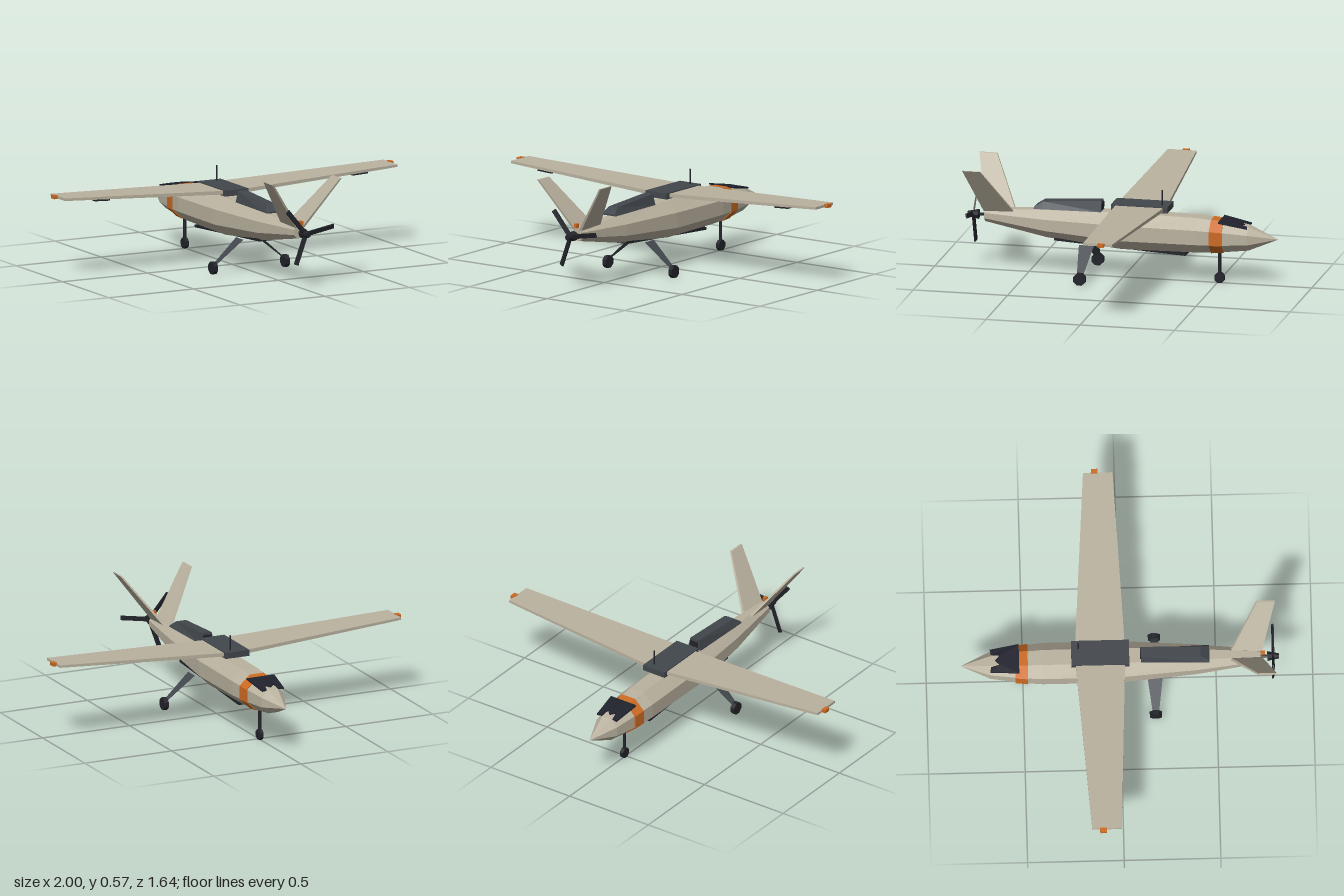
import * as THREE from 'three';

const paint = (name, color, extra = {}) => {
  const m = new THREE.MeshStandardMaterial({ color, ...extra });
  m.name = name;
  return m;
};

// Flat-shaded solid through matching rings of [x, y, z] points, capped at both ends
function loft(rings) {
  const n = rings[0].length, tris = [];
  for (let i = 0; i < rings.length - 1; i++) {
    for (let j = 0; j < n; j++) {
      const k = (j + 1) % n, a = rings[i], b = rings[i + 1];
      tris.push([a[j], a[k], b[k]], [a[j], b[k], b[j]]);
    }
  }
  const end = rings[rings.length - 1];
  for (let j = 1; j < n - 1; j++) {
    tris.push([rings[0][0], rings[0][j + 1], rings[0][j]], [end[0], end[j], end[j + 1]]);
  }
  // Turn every face outwards by the sign of the volume
  let volume = 0;
  const o = new THREE.Vector3(...rings[0][0]);
  const v = (p) => new THREE.Vector3(...p).sub(o);
  for (const [a, b, c] of tris) volume += v(a).dot(v(b).cross(v(c)));
  if (volume < 0) tris.forEach((t) => t.reverse());
  const g = new THREE.BufferGeometry();
  g.setAttribute('position', new THREE.Float32BufferAttribute(tris.flat(2), 3));
  g.computeVertexNormals();
  return g;
}

// Octagonal hull ring: z, half width, bottom, top
function hullRing([z, w, bottom, top], grow = 0) {
  const c = (bottom + top) / 2, h = (top - bottom) / 2 + grow, r = w + grow, q = 0.414;
  return [[q, 1], [1, q], [1, -q], [q, -1], [-q, -1], [-1, -q], [-1, q], [-q, 1]]
    .map(([x, y]) => [x * r, c + y * h, z]);
}

export function createModel() {
  const root = new THREE.Group();
  root.name = 'droneAircraft';
  const beige = paint('hull beige', 0xbab29f);
  const slate = paint('slate grey', 0x42474d);
  const dark = paint('dark rubber', 0x22232a);
  const orange = paint('marker orange', 0xcc6a22);
  const glass = paint('sensor glass', 0x1f212c, { side: THREE.DoubleSide });
  const strutGrey = paint('strut grey', 0x42474d, { side: THREE.DoubleSide });

  const add = (name, geometry, material, x = 0, y = 0, z = 0, parent = root) => {
    const m = new THREE.Mesh(geometry, material);
    m.name = name;
    m.position.set(x, y, z);
    parent.add(m);
    return m;
  };
  const box = (x, y, z) => new THREE.BoxGeometry(x, y, z);
  const round = (r1, r2, h, sides) =>
    new THREE.CylinderGeometry(r1, r2, h, sides).toNonIndexed();
  const flat = (g) => { g.computeVertexNormals(); return g; };

  // Fuselage, nose at -z
  add('fuselage', loft([
    [-0.82, 0.001, 0.25, 0.252], [-0.67, 0.065, 0.19, 0.315], [-0.52, 0.088, 0.174, 0.34],
    [-0.4, 0.1, 0.168, 0.352], [0, 0.1, 0.163, 0.357], [0.4, 0.071, 0.2, 0.345],
    [0.73, 0.034, 0.263, 0.33],
  ].map((s) => hullRing(s))), beige);
  add('noseBand', loft([[-0.54, 0.086, 0.176, 0.336], [-0.475, 0.094, 0.172, 0.344]]
    .map((s) => hullRing(s, 0.004))), orange);

  // Windscreen plate with a notched front edge, sloping to the nose
  const screen = [[-0.08, -0.52], [-0.062, -0.67], [-0.035, -0.665], [-0.025, -0.62], [0, -0.645],
    [0.025, -0.62], [0.035, -0.665], [0.062, -0.67], [0.08, -0.52]];
  const screenShape = new THREE.Shape(screen.map(([x, z]) => new THREE.Vector2(x, -z)));
  const screenGeo = new THREE.ExtrudeGeometry(screenShape, { depth: 0.008, bevelEnabled: false });
  screenGeo.rotateX(-Math.PI / 2);
  const sp = screenGeo.attributes.position;
  for (let i = 0; i < sp.count; i++) {
    const t = (-0.52 - sp.getZ(i)) / 0.15;
    sp.setY(i, sp.getY(i) + 0.338 - 0.012 * t - 0.016 * t * t);
  }
  add('windscreen', flat(screenGeo), glass);

  // Wing with taper and slight dihedral
  const wingRing = (x, y, t, lead, trail) =>
    [[x, y, lead], [x, y + t, lead], [x, y + t, trail], [x, y, trail]];
  add('wing', loft([
    wingRing(-0.98, 0.424, 0.013, -0.165, -0.012), wingRing(0, 0.378, 0.02, -0.232, 0.03),
    wingRing(0.98, 0.424, 0.013, -0.165, -0.012),
  ]), beige);
  add('wingCentreBox', box(0.136, 0.032, 0.3), slate, 0, 0.39, -0.1);
  add('antenna', flat(round(0.004, 0.004, 0.085, 6)), dark, 0.025, 0.444, -0.212);

  // Spine fairing behind the wing
  const trap = (z, wb, wt, yb, yt) => [[-wb, yb, z], [wb, yb, z], [wt, yt, z], [-wt, yt, z]];
  add('spineFairing', loft([trap(0.11, 0.04, 0.025, 0.352, 0.41),
    trap(0.42, 0.047, 0.028, 0.352, 0.39), trap(0.465, 0.048, 0.04, 0.352, 0.36)]), slate);
  add('spineIntake', box(0.05, 0.03, 0.006), dark, 0, 0.382, 0.109);

  // Belly panel, tilted so only its ends emerge
  add('bellyPanel', box(0.075, 0.014, 0.7), dark, 0, 0.173, 0.01).rotation.x = -0.06;

  // Mirrored parts
  for (const s of [-1, 1]) {
    const side = s > 0 ? 'left' : 'right';
    add(side + 'WingLight', box(0.024, 0.018, 0.034), orange, s * 0.988, 0.431, -0.107);
    const horn = add(side + 'WingActuator', box(0.09, 0.012, 0.03), dark, s * 0.76, 0.411, -0.022);
    horn.rotation.z = s * 0.047;

    // V tail
    const finRing = (x, y, lead, trail, t) =>
      [[s * x - t, y, lead], [s * x + t, y, lead], [s * x + t, y, trail], [s * x - t, y, trail]];
    add(side + 'TailFin', loft([finRing(0.018, 0.32, 0.572, 0.735, 0.008),
      finRing(0.2, 0.574, 0.714, 0.808, 0.005)]), beige);

    // Main gear: thin leaf strut and wheel
    const leaf = new THREE.BufferGeometry();
    leaf.setAttribute('position', new THREE.Float32BufferAttribute([
      s * 0.055, 0.175, 0.143, s * 0.055, 0.175, 0.223,
      s * 0.205, 0.05, 0.2, s * 0.205, 0.05, 0.167], 3));
    leaf.setIndex(s > 0 ? [0, 1, 2, 0, 2, 3] : [0, 2, 1, 0, 3, 2]);
    leaf.computeVertexNormals();
    add(side + 'GearStrut', leaf, strutGrey);
  }

  // Wheels
  const wheel = (name, r, w, x, z) => {
    const g = round(r, r, w, 8);
    g.rotateY(Math.PI / 8).rotateZ(Math.PI / 2);
    add(name, flat(g), dark, x, r * 0.924 + 0.003, z);
  };
  wheel('leftWheel', 0.034, 0.024, 0.212, 0.183);
  wheel('rightWheel', 0.034, 0.024, -0.212, 0.183);
  wheel('noseWheel', 0.029, 0.02, 0, -0.512);
  add('noseGearStrut', flat(round(0.008, 0.008, 0.125, 6)), dark, 0, 0.112, -0.512);

  // Pusher propeller
  const prop = new THREE.Group();
  prop.name = 'propeller';
  prop.position.set(0, 0.295, 0.795);
  root.add(prop);
  const axial = (g) => flat(g.rotateX(Math.PI / 2));
  add('hub', axial(round(0.014, 0.027, 0.06, 8)), dark, 0, 0, 0, prop);
  add('shaft', axial(round(0.008, 0.008, 0.07, 6)), dark, 0, 0, -0.05, prop);
  for (const deg of [10, 130, 250]) {
    const blade = box(0.15, 0.024, 0.008);
    blade.rotateX(0.25).translate(0.092, 0, 0);
    add('blade', blade, dark, 0, 0, 0, prop).rotation.z = THREE.MathUtils.degToRad(deg);
  }
  add('tailLight', box(0.018, 0.022, 0.022), orange, 0, 0.345, 0.742);
  return root;
}
